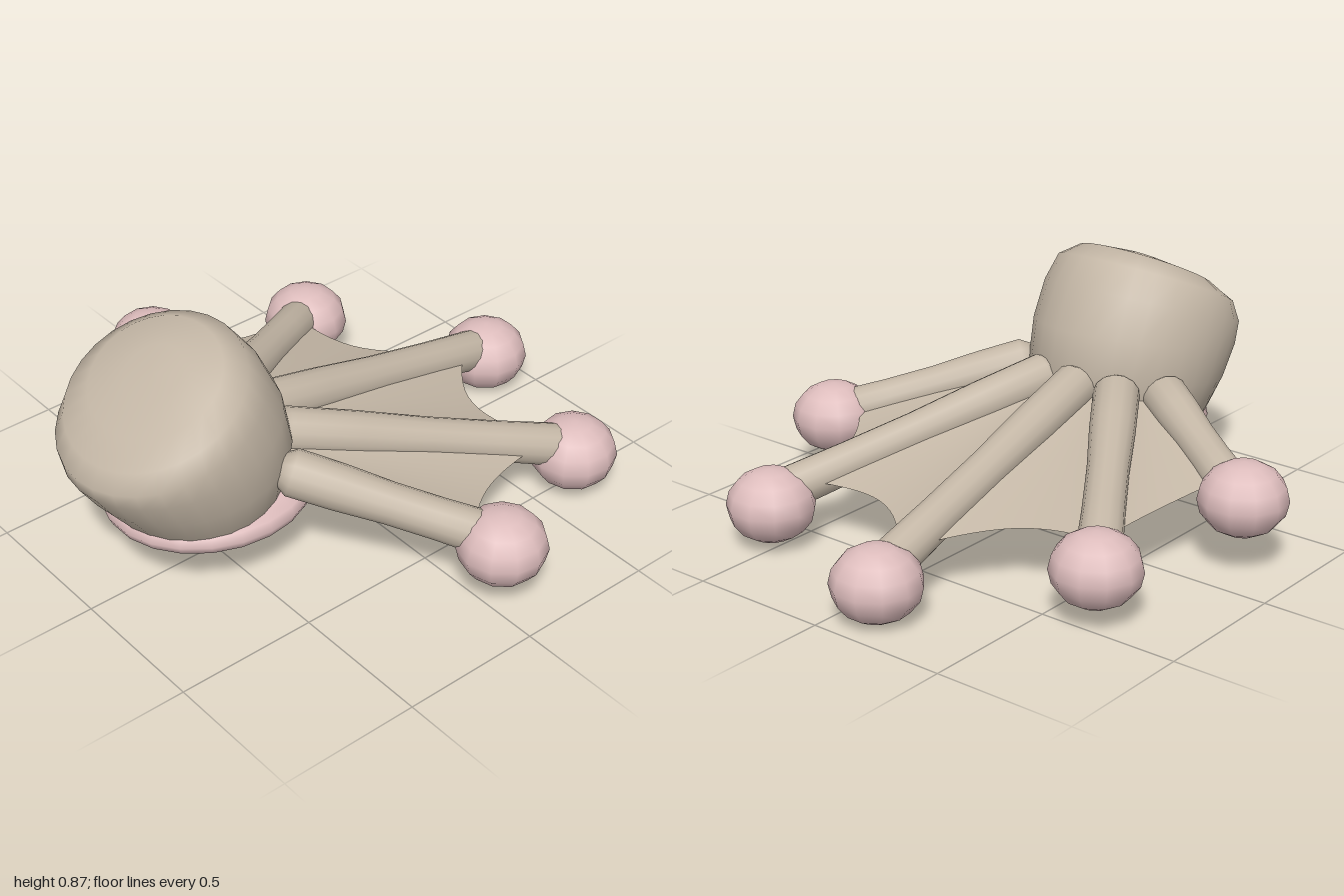
import * as THREE from 'three';

const V = (x, y, z) => new THREE.Vector3(x, y, z);

// Surface from a grid of points: rows of equal length, optionally closed around
function gridGeometry(rows, closed) {
  const n = rows[0].length, pos = [], idx = [];
  rows.forEach(r => r.forEach(p => pos.push(p.x, p.y, p.z)));
  for (let i = 0; i < rows.length - 1; i++) {
    for (let j = 0; j < (closed ? n : n - 1); j++) {
      const k = (j + 1) % n;
      const a = i * n + j, b = i * n + k, c = a + n, d = b + n;
      idx.push(a, b, c, b, d, c);
    }
  }
  const g = new THREE.BufferGeometry();
  g.setAttribute('position', new THREE.Float32BufferAttribute(pos, 3));
  g.setIndex(idx);
  g.computeVertexNormals();
  return g;
}

const lathe = (points, sides) =>
  new THREE.LatheGeometry(points.map(p => new THREE.Vector2(...p)), sides);

export function createModel() {
  const group = new THREE.Group();
  const skin = new THREE.MeshStandardMaterial({ color: 0xc4b7a6, side: THREE.DoubleSide });
  skin.name = 'taupe skin';
  const pink = new THREE.MeshStandardMaterial({ color: 0xdebdbd });
  pink.name = 'pink pad';

  const add = (name, geometry, material) => {
    const m = new THREE.Mesh(geometry, material);
    m.name = name;
    group.add(m);
    return m;
  };

  // Heel: tilted rings, each given by its back point, front point and half width
  const rings = [
    [-0.55, 0.09, -0.55, 0.09, 0.001],
    [-0.66, 0.11, -0.45, 0.11, 0.11],
    [-0.75, 0.17, -0.37, 0.16, 0.21],
    [-0.85, 0.28, -0.27, 0.28, 0.30],
    [-0.93, 0.38, -0.235, 0.47, 0.345],
    [-0.99, 0.47, -0.27, 0.62, 0.357],
    [-1.0, 0.52, -0.34, 0.76, 0.353],
    [-0.965, 0.585, -0.41, 0.85, 0.325],
    [-0.88, 0.66, -0.49, 0.875, 0.25],
    [-0.78, 0.73, -0.6, 0.837, 0.11],
    [-0.69, 0.785, -0.69, 0.785, 0.001],
  ];
  const heelRows = rings.map(([x0, y0, x1, y1, w]) =>
    Array.from({ length: 28 }, (_, j) => {
      const a = j / 28 * Math.PI * 2, c = Math.cos(a);
      return V((x0 + x1) / 2 + c * (x1 - x0) / 2, (y0 + y1) / 2 + c * (y1 - y0) / 2,
        -0.025 + Math.sin(a) * w);
    }));
  const heelGeometry = gridGeometry(heelRows, true);
  // wind the faces outward
  const order = heelGeometry.index.array;
  order.reverse();
  heelGeometry.computeVertexNormals();
  add('heel', heelGeometry, skin);

  // Thick rounded cushion around the underside of the heel
  const sole = add('solePad', lathe([
    [0, -0.075], [0.6, -0.072], [0.85, -0.055], [0.96, -0.03], [1, 0],
    [0.96, 0.03], [0.85, 0.055], [0.6, 0.072], [0, 0.075],
  ], 22), pink);
  sole.scale.set(0.37, 1, 0.335);
  sole.position.set(-0.497, 0.263, -0.02);

  // Toes, ordered from back to front: tube start, tube end, pad centre
  const toes = [
    [V(-0.42, 0.42, -0.30), V(-0.165, 0.28, -0.75), V(-0.165, 0.255, -0.80)],
    [V(-0.30, 0.435, -0.19), V(0.405, 0.21, -0.645), V(0.435, 0.185, -0.66)],
    [V(-0.26, 0.445, -0.05), V(0.81, 0.165, -0.12), V(0.85, 0.13, -0.125)],
    [V(-0.28, 0.44, 0.10), V(0.62, 0.185, 0.515), V(0.655, 0.15, 0.525)],
    [V(-0.39, 0.425, 0.27), V(0.04, 0.245, 0.755), V(0.06, 0.22, 0.795)],
  ];
  for (const [start, end, pad] of toes) {
    const dir = end.clone().sub(start), len = dir.length();
    const bone = add('toe', lathe([
      [0, -0.05], [0.05, -0.035], [0.08, 0.01], [0.078, len * 0.25], [0.07, len * 0.5],
      [0.07, len * 0.75], [0.074, len - 0.03], [0.058, len + 0.01], [0, len + 0.03],
    ], 14), skin);
    bone.position.copy(start);
    bone.quaternion.setFromUnitVectors(V(0, 1, 0), dir.normalize());

    const tip = add('toePad', new THREE.SphereGeometry(1, 11, 8), pink);
    tip.scale.set(0.152, 0.127, 0.152);
    tip.position.copy(pad);
  }

  // Webbing between neighbouring toes, with a scalloped outer edge
  const dips = [0.07, 0.14, 0.14, 0.10];
  dips.forEach((dip, i) => {
    const [a0, a1] = toes[i], [b0, b1] = toes[i + 1];
    const rows = [];
    for (let u = 0; u <= 14; u++) {
      const t = u / 14, bow = Math.max(0, Math.sin(Math.PI * t)) ** 0.8;
      const from = a0.clone().lerp(b0, t), to = a1.clone().lerp(b1, t);
      const reach = 0.94 - dip * bow;
      rows.push(Array.from({ length: 9 }, (_, k) => {
        const p = from.clone().lerp(to, reach * k / 8);
        p.y += 0.015 - 0.03 * bow;
        return p;
      }));
    }
    add('web', gridGeometry(rows, false), skin);
  });

  return group;
}
